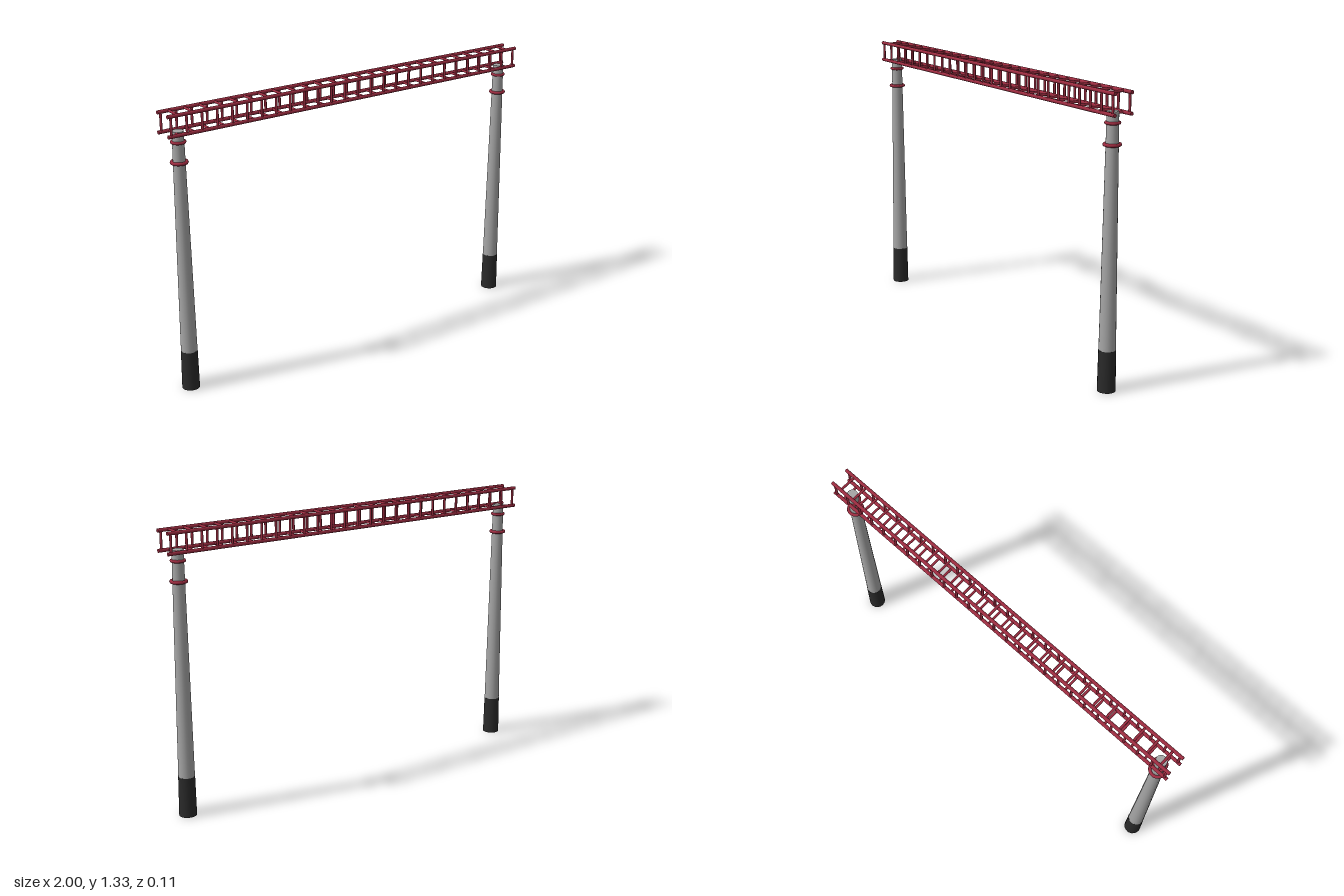
import * as THREE from 'three';

export function createModel() {
  const model = new THREE.Group();
  model.name = 'gantry';

  const paint = (name, color) => {
    const m = new THREE.MeshStandardMaterial({ color });
    m.name = name;
    return m;
  };
  const red = paint('red', 0x9c2c40);
  const grey = paint('grey', 0xa6a6a6);
  const black = paint('black', 0x2a2a2a);

  const add = (parent, name, geometry, material, x, y, z) => {
    const mesh = new THREE.Mesh(geometry, material);
    mesh.name = name;
    mesh.position.set(x, y, z);
    parent.add(mesh);
    return mesh;
  };

  // Two tapered columns with dark feet and red collars
  const footGeo = new THREE.CylinderGeometry(0.0385, 0.041, 0.19, 20);
  const shaftGeo = new THREE.CylinderGeometry(0.026, 0.038, 1.047, 20);
  const lowCollarGeo = new THREE.TorusGeometry(0.033, 0.008, 8, 24).rotateX(Math.PI / 2);
  const highCollarGeo = new THREE.TorusGeometry(0.0285, 0.007, 8, 24).rotateX(Math.PI / 2);
  for (const side of [-1, 1]) {
    const column = new THREE.Group();
    column.name = side > 0 ? 'leftColumn' : 'rightColumn';
    column.position.x = side * 0.93;
    add(column, 'foot', footGeo, black, 0, 0.095, 0);
    add(column, 'shaft', shaftGeo, grey, 0, 0.7135, 0);
    add(column, 'lowerCollar', lowCollarGeo, red, 0, 1.096, 0);
    add(column, 'upperCollar', highCollarGeo, red, 0, 1.188, 0);
    model.add(column);
  }

  // Box truss: four long chords
  const truss = new THREE.Group();
  truss.name = 'truss';
  model.add(truss);
  const low = 1.231, high = 1.32, depth = 0.044;
  const chordGeo = new THREE.CylinderGeometry(0.0085, 0.0085, 2, 10).rotateZ(Math.PI / 2);
  for (const y of [low, high])
    for (const z of [-depth, depth]) add(truss, 'chord', chordGeo, red, 0, y, z);

  // Upright rungs on both faces
  const pitch = 0.0757, bays = 26;
  const uprightGeo = new THREE.CylinderGeometry(0.006, 0.006, high - low, 8);
  for (let i = 0; i <= bays; i++)
    for (const z of [-depth, depth])
      add(truss, 'uprightRung', uprightGeo, red, (i - bays / 2) * pitch, (low + high) / 2, z);

  // Cross rungs, top and bottom, halfway between the uprights
  const crossGeo = new THREE.CylinderGeometry(0.006, 0.006, depth * 2, 8).rotateX(Math.PI / 2);
  for (let i = 0; i < bays; i++)
    for (const y of [low, high])
      add(truss, 'crossRung', crossGeo, red, (i + 0.5 - bays / 2) * pitch, y, 0);

  return model;
}
